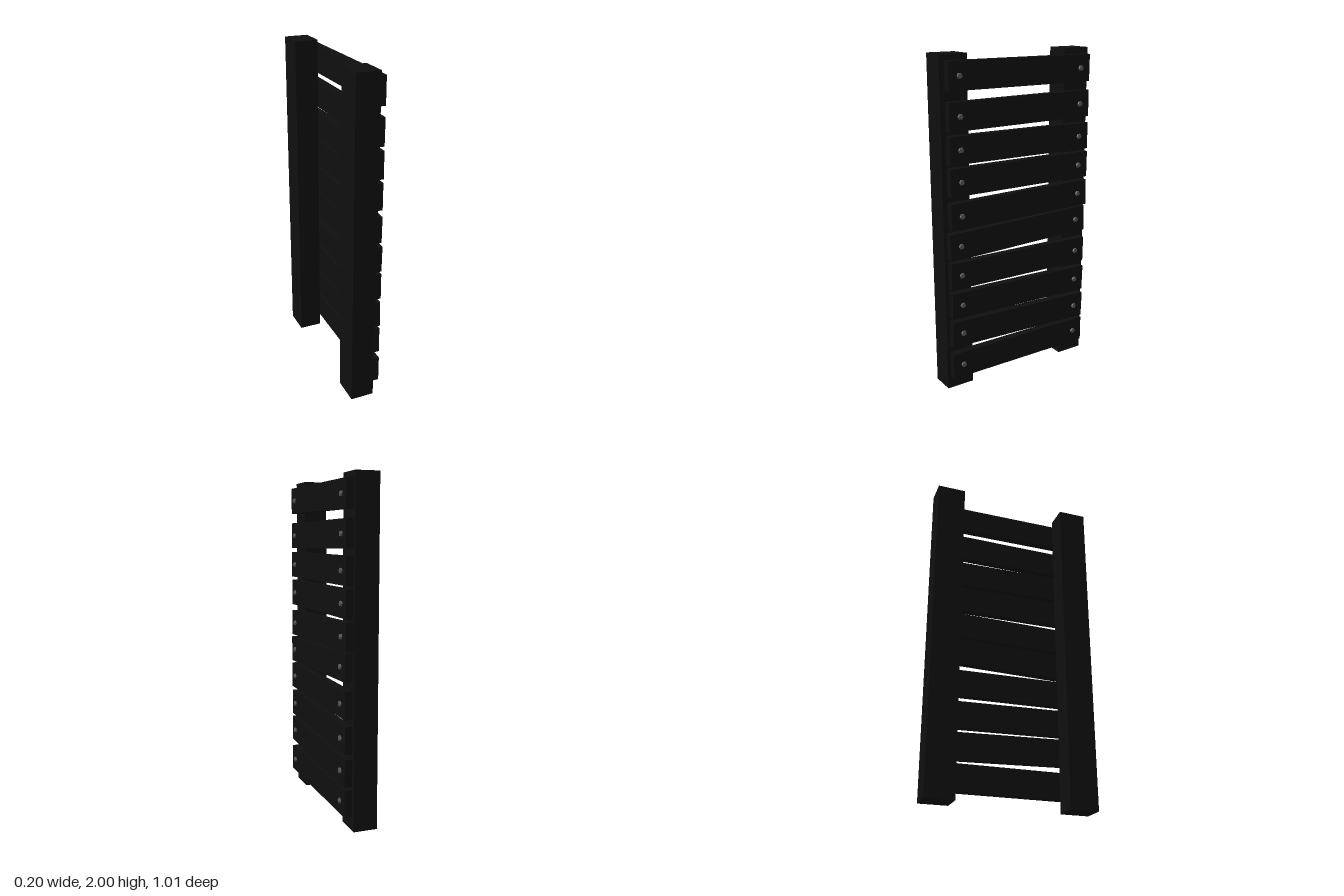
import * as THREE from 'three';

export function createModel() {
  const group = new THREE.Group();
  const wood = new THREE.MeshStandardMaterial({ color: 0x0f0f0f });
  wood.name = 'dark wood';
  const metal = new THREE.MeshStandardMaterial({ color: 0x555555 });
  metal.name = 'grey metal';

  const add = (name, geometry, material, x, y, z) => {
    const mesh = new THREE.Mesh(geometry, material);
    mesh.name = name;
    mesh.position.set(x, y, z);
    group.add(mesh);
    return mesh;
  };

  // Two upright posts
  const postGeo = new THREE.BoxGeometry(0.143, 2, 0.173);
  add('leftPost', postGeo, wood, -0.0285, 1, -0.42);
  add('rightPost', postGeo, wood, -0.0285, 1, 0.42);

  // Slats: [bolt height at +z, bolt height at -z, shift along z]
  const slats = [
    [0.161, 0.161, 0.005],
    [0.367, 0.340, 0.002],
    [0.549, 0.529, 0.002],
    [0.737, 0.727, 0.003],
    [0.917, 0.937, 0.004],
    [1.095, 1.107, -0.006],
    [1.295, 1.290, -0.007],
    [1.478, 1.470, -0.006],
    [1.664, 1.669, -0.007],
    [1.885, 1.882, -0.007],
  ];
  const slatGeo = new THREE.BoxGeometry(0.046, 0.161, 0.966);

  // Low hexagonal bolt head pointing along +x
  const boltGeo = new THREE.CylinderGeometry(0.015, 0.018, 0.012, 6).toNonIndexed();
  boltGeo.rotateZ(-Math.PI / 2);
  boltGeo.computeVertexNormals();

  slats.forEach(([yFront, yBack, shift], i) => {
    const slat = add('slat' + (i + 1), slatGeo, wood, 0.065, (yFront + yBack) / 2, shift);
    slat.rotation.x = -Math.atan2(yFront - yBack, 0.83);
    for (const side of [1, -1]) {
      const bolt = new THREE.Mesh(boltGeo, metal);
      bolt.name = 'bolt';
      bolt.position.set(0.027, 0, side * 0.415);
      slat.add(bolt);
    }
  });
  return group;
}
